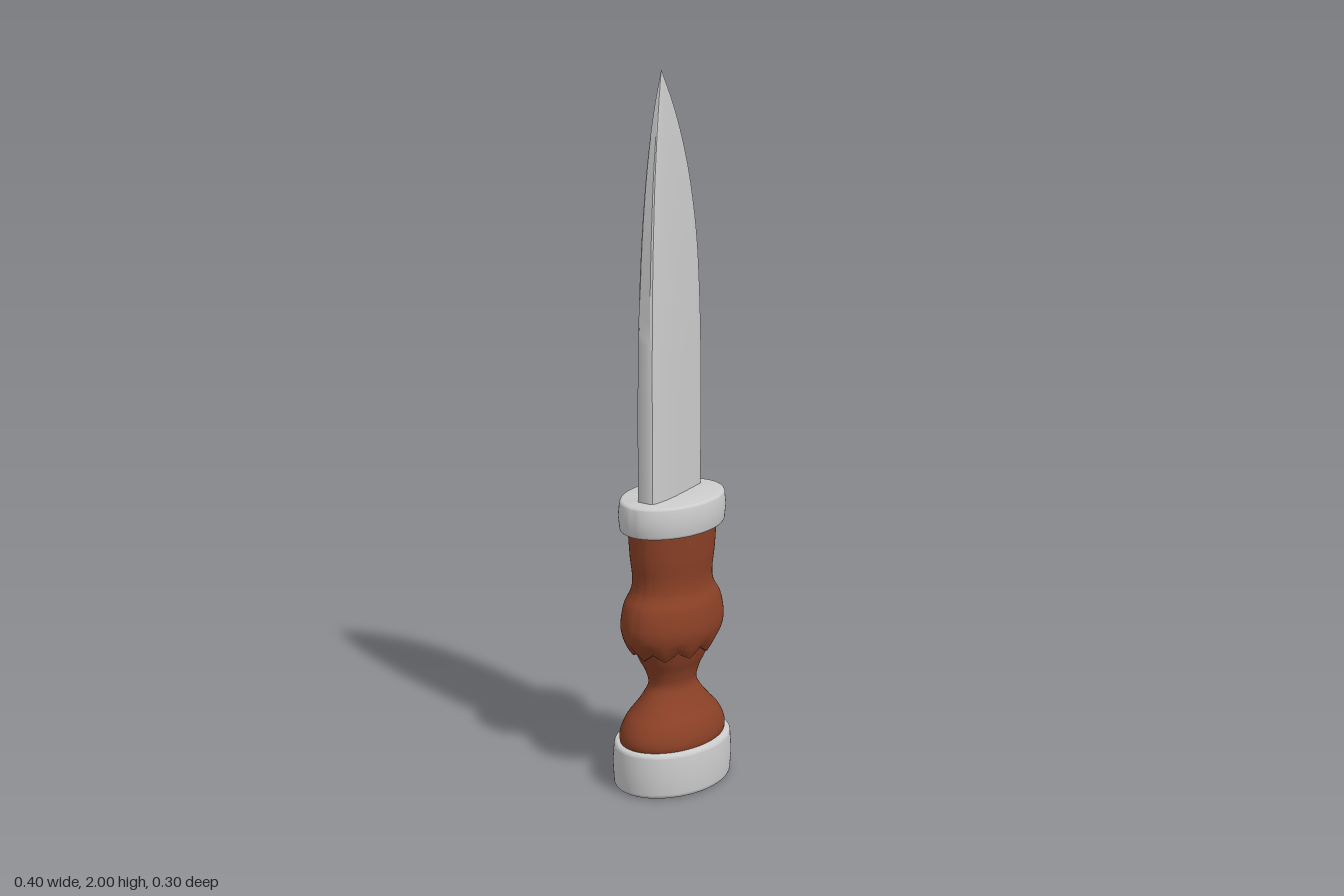
import * as THREE from 'three';
import { toCreasedNormals } from 'three/addons/utils/BufferGeometryUtils.js';

const metal = new THREE.MeshStandardMaterial({ color: 0xcccccc });
const wood = new THREE.MeshStandardMaterial({ color: 0x8a4026 });
const vecs = (pts) => pts.map(([x, y]) => new THREE.Vector2(x, y));
const smooth = (pts, n) => new THREE.SplineCurve(vecs(pts)).getPoints(n);

// Turned body squashed to an oval cross-section
function oval(name, points, ratio, material) {
  const geo = new THREE.LatheGeometry(points, 80);
  geo.scale(1, 1, ratio);
  const mesh = new THREE.Mesh(geo, material);
  mesh.name = name;
  return mesh;
}

// Oval metal collar with softly rounded rims
function collar(name, rx, rz, y0, y1) {
  const b = 0.012, pts = [[0, y0], [rx - b - 0.004, y0]];
  for (let i = 0; i <= 5; i++) {
    const a = (i / 5) * Math.PI / 2;
    pts.push([rx - 0.004 - b + b * Math.sin(a), y0 + b - b * Math.cos(a)]);
  }
  pts.push([rx, (y0 + y1) / 2]);
  for (let i = 0; i <= 5; i++) {
    const a = (i / 5) * Math.PI / 2;
    pts.push([rx - 0.004 - b + b * Math.cos(a), y1 - b + b * Math.sin(a)]);
  }
  pts.push([0, y1]);
  const mesh = oval(name, vecs(pts), rz / rx, metal);
  mesh.geometry = toCreasedNormals(mesh.geometry, 0.6);
  return mesh;
}

// Upper grip, its lower edge cut into a zigzag
function upperGrip() {
  const pts = smooth([[0.137, 0.392], [0.158, 0.415], [0.174, 0.445], [0.178, 0.48],
    [0.167, 0.53], [0.143, 0.57], [0.138, 0.61], [0.146, 0.67], [0.153, 0.76]], 50);
  pts.unshift(new THREE.Vector2(0.1, 0.39));
  const mesh = oval('upperGrip', pts, 0.69, wood);
  const pos = mesh.geometry.attributes.position;
  for (let i = 0; i < pos.count; i++) {
    const y = pos.getY(i);
    const angle = Math.atan2(pos.getX(i), pos.getZ(i) / 0.69);
    const wave = Math.asin(Math.cos(angle * 10)) / (Math.PI / 2);
    const fade = Math.max(0, 1 - Math.max(0, y - 0.39) / 0.05);
    pos.setY(i, y + 0.011 * wave * fade);
  }
  mesh.geometry = toCreasedNormals(mesh.geometry, 0.7);
  return mesh;
}

// Single-edged blade lofted from scaled sections
function blade() {
  // Section from spine (t = 0) to cutting edge (t = 1), with half thickness
  const half = [[0, 0.019], [0.015, 0.025], [0.05, 0.028], [0.12, 0.03], [0.25, 0.03],
    [0.4, 0.027], [0.55, 0.022], [0.75, 0.014], [0.9, 0.008], [0.985, 0.005], [1, 0.003]];
  const ring = [...half, ...half.slice().reverse().map(([t, z]) => [t, -z])];
  // Height, spine x, edge x, thickness factor
  const keys = [[0.8, -0.13, 0.13, 1], [1.2, -0.129, 0.13, 0.96], [1.4, -0.124, 0.122, 0.88],
    [1.55, -0.116, 0.108, 0.78], [1.7, -0.103, 0.078, 0.62], [1.8, -0.09, 0.047, 0.48],
    [1.9, -0.073, 0.005, 0.28], [2, -0.05, -0.05, 0]];
  const spine = new THREE.CatmullRomCurve3(keys.map((k) => new THREE.Vector3(k[1], k[0], k[3])));
  const edge = new THREE.CatmullRomCurve3(keys.map((k) => new THREE.Vector3(k[2], k[0], k[3])));
  const rows = 42, n = ring.length, pos = [], index = [];
  for (let r = 0; r <= rows; r++) {
    const s = spine.getPoint(r / rows), e = edge.getPoint(r / rows);
    for (const [t, z] of ring) pos.push(s.x + (e.x - s.x) * t, s.y, z * s.z);
  }
  for (let r = 0; r < rows; r++) {
    for (let i = 0; i < n; i++) {
      const a = r * n + i, b = r * n + (i + 1) % n;
      index.push(a, a + n, b, b, a + n, b + n);
    }
  }
  // The ring runs clockwise seen from the front, so flip to face outwards
  for (let i = 0; i < index.length; i += 3) {
    [index[i + 1], index[i + 2]] = [index[i + 2], index[i + 1]];
  }
  const geo = new THREE.BufferGeometry();
  geo.setAttribute('position', new THREE.Float32BufferAttribute(pos, 3));
  geo.setIndex(index);
  const mesh = new THREE.Mesh(toCreasedNormals(geo, 0.6), metal);
  mesh.name = 'blade';
  return mesh;
}

export function createModel() {
  const group = new THREE.Group();
  group.name = 'knife';
  // Flared foot and narrow waist of the handle
  const lower = smooth([[0.176, 0.12], [0.183, 0.14], [0.178, 0.165], [0.16, 0.195],
    [0.135, 0.22], [0.103, 0.255], [0.083, 0.29], [0.094, 0.33], [0.115, 0.365],
    [0.132, 0.4], [0.14, 0.43]], 60);
  group.add(
    collar('pommel', 0.2, 0.149, 0, 0.13),
    oval('lowerGrip', lower, 0.7, wood),
    upperGrip(),
    collar('guard', 0.185, 0.127, 0.745, 0.835),
    blade(),
  );
  return group;
}
